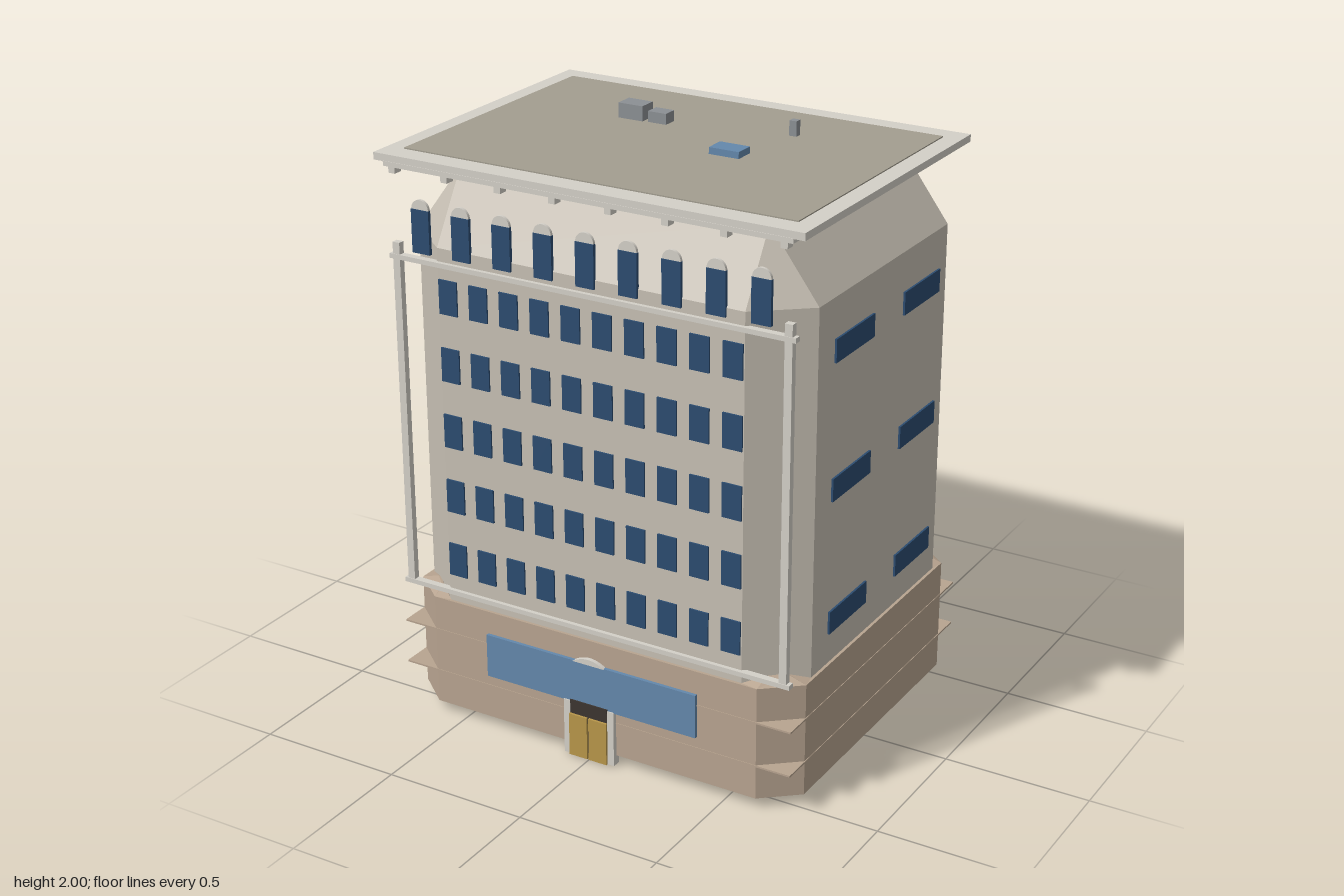
import * as THREE from 'three';

const mat = (c) => new THREE.MeshStandardMaterial({ color: c, flatShading: true });
const M = {
  wall: mat(0xc6bfb3), base: mat(0xb8a490), plinth: mat(0x5e5046), trim: mat(0xd4d0c8),
  roof: mat(0xa39e90), glass: mat(0x2c4c70), panel: mat(0x6488ac), gold: mat(0xb8964a),
  dark: mat(0x3c3530), metal: mat(0x8c9094),
};
const MID_Z = -0.01; // centre of the building's depth

// Rectangle with cut corners, listed front -> right -> back -> left
function octagon(hx, hz, cx, cz) {
  const f = MID_Z + hz, b = MID_Z - hz, x = hx - cx;
  return [[-x, f], [x, f], [hx, f - cz], [hx, b + cz], [x, b], [-x, b], [-hx, b + cz], [-hx, f - cz]];
}

// Stack of rings [y, points], closed at both ends
function loft(rings) {
  const pos = [];
  const tri = (...pts) => pts.forEach((p) => pos.push(...p));
  const R = rings.map(([y, pts]) => pts.map(([x, z]) => [x, y, z]));
  const n = R[0].length, top = R[R.length - 1], bottom = R[0];
  for (let k = 0; k < R.length - 1; k++) {
    for (let i = 0; i < n; i++) {
      const j = (i + 1) % n;
      tri(R[k][i], R[k][j], R[k + 1][j]);
      tri(R[k][i], R[k + 1][j], R[k + 1][i]);
    }
  }
  for (let i = 1; i < n - 1; i++) {
    tri(top[0], top[i], top[i + 1]);
    tri(bottom[0], bottom[i + 1], bottom[i]);
  }
  const g = new THREE.BufferGeometry();
  g.setAttribute('position', new THREE.Float32BufferAttribute(pos, 3));
  g.computeVertexNormals();
  return g;
}

export function createModel() {
  const model = new THREE.Group();
  model.name = 'officeBuilding';

  const add = (name, geo, material, parent = model) => {
    const m = new THREE.Mesh(geo, material);
    m.name = name;
    parent.add(m);
    return m;
  };
  // Box given by its limits on each axis
  const box = (name, [x0, x1], [y0, y1], [z0, z1], material, parent) => {
    const m = add(name, new THREE.BoxGeometry(x1 - x0, y1 - y0, z1 - z0), material, parent);
    m.position.set((x0 + x1) / 2, (y0 + y1) / 2, (z0 + z1) / 2);
    return m;
  };
  const group = (name) => {
    const g = new THREE.Group();
    g.name = name;
    model.add(g);
    return g;
  };
  const around = (c, size) => [c - size / 2, c + size / 2];
  // Half disc standing on y, facing front
  const halfDisc = (name, x, y, z, r, depth, material, parent) => {
    const s = new THREE.Shape();
    s.absarc(0, 0, r, 0, Math.PI, false);
    const geo = new THREE.ExtrudeGeometry(s, { depth, bevelEnabled: false, curveSegments: 12 });
    add(name, geo, material, parent).position.set(x, y, z);
  };

  // Plinth, base and tower
  const baseRing = octagon(0.73, 0.59, 0.12, 0.1);
  const towerRing = octagon(0.72, 0.58, 0.17, 0.14);
  add('plinth', loft([[0, octagon(0.61, 0.49, 0, 0)], [0.037, baseRing]]), M.plinth);
  add('base', loft([[0.037, baseRing], [0.43, baseRing]]), M.base);
  add('tower', loft([[0.43, towerRing], [1.66, towerRing], [1.888, octagon(0.55, 0.44, 0, 0)]]), M.wall);

  // Thin square bands that show past the cut corners of the base
  for (const y of [0.155, 0.31]) {
    box('baseBand', [-0.732, 0.732], around(y, 0.006), [MID_Z - 0.592, MID_Z + 0.592], M.base);
  }

  // Sloped caps on the base corners
  const capLow = [[0.55, 0.58], [0.61, 0.59], [0.73, 0.49], [0.72, 0.44]];
  const capHigh = [[0.61, 0.535], [0.615, 0.54], [0.665, 0.49], [0.66, 0.485]];
  for (const sx of [-1, 1]) {
    for (const sz of [-1, 1]) {
      const place = (pts) => {
        const p = pts.map(([x, z]) => [sx * x, MID_Z + sz * z]);
        return sx * sz < 0 ? p.reverse() : p;
      };
      add('cornerCap', loft([[0.43, place(capLow)], [0.45, place(capHigh)]]), M.base);
    }
  }

  // Window grids on the front and back
  const windows = group('windows');
  for (let row = 0; row < 5; row++) {
    for (let col = 0; col < 10; col++) {
      const x = around((col - 4.5) * 0.1138, 0.068), y = around(0.585 + row * 0.229, 0.115);
      box('frontWindow', x, y, [0.56, 0.576], M.glass, windows);
      box('backWindow', x, y, [-0.598, -0.58], M.glass, windows);
    }
  }
  // Wide side windows
  for (const s of [-1, 1]) {
    for (const y of [0.573, 1.03, 1.488]) {
      for (const z of [0.198, -0.266]) {
        box('sideWindow', around(s * 0.717, 0.02), around(y, 0.077), around(z, 0.254), M.glass, windows);
      }
    }
  }

  // Arched windows below the eaves
  const arches = group('archedWindows');
  for (let i = 0; i < 9; i++) {
    const x = (i - 4) * 0.1515;
    box('archedWindowPane', around(x, 0.066), [1.632, 1.776], [0.566, 0.578], M.glass, arches);
    halfDisc('archedWindowHead', x, 1.776, 0.566, 0.032, 0.01, M.trim, arches);
  }

  // Frame standing in front of the facade
  const frame = group('facadeFrame');
  for (const s of [-1, 1]) box('framePost', around(s * 0.7, 0.026), [0.46, 1.655], [0.56, 0.582], M.trim, frame);
  for (const y of [0.467, 1.608]) box('frameRail', [-0.725, 0.725], around(y, 0.016), [0.56, 0.584], M.trim, frame);

  // Roof slab, inner deck, cornice and brackets
  box('roofSlab', [-0.757, 0.757], [1.922, 1.946], [-0.515, 0.6], M.trim);
  box('roofDeck', [-0.695, 0.695], [1.94, 1.95], [-0.44, 0.524], M.roof);
  const cornice = group('cornice');
  box('corniceStrip', [-0.72, 0.72], [1.908, 1.924], [0.565, 0.602], M.trim, cornice);
  for (let i = 0; i < 8; i++) {
    box('corniceBracket', around((i - 3.5) * 0.197, 0.024), [1.888, 1.91], [0.568, 0.6], M.trim, cornice);
  }

  // Rooftop equipment
  box('largeRoofUnit', [-0.295, -0.205], [1.946, 2], [-0.16, -0.095], M.metal);
  box('smallRoofUnit', [-0.187, -0.12], [1.946, 1.986], [-0.152, -0.1], M.metal);
  box('ventPipe', [0.275, 0.301], [1.946, 2], [-0.222, -0.197], M.metal);
  box('skylight', [0.154, 0.26], [1.946, 1.972], [0.03, 0.1], M.panel);

  // Entrance with its wide glazed panel
  const entrance = group('entrance');
  box('frontPanel', [-0.397, 0.397], [0.197, 0.35], [0.575, 0.592], M.panel, entrance);
  const arc = new THREE.Shape();
  arc.moveTo(-0.06, 0);
  arc.quadraticCurveTo(0, 0.04, 0.06, 0);
  add('panelCrest', new THREE.ExtrudeGeometry(arc, { depth: 0.018, bevelEnabled: false }), M.trim, entrance)
    .position.set(0, 0.348, 0.576);
  box('doorHead', [-0.07, 0.07], [0.155, 0.205], [0.575, 0.596], M.dark, entrance);
  box('doorGap', [-0.07, 0.07], [0.005, 0.156], [0.575, 0.597], M.dark, entrance);
  for (const s of [-1, 1]) {
    box('doorLeaf', around(s * 0.037, 0.068), [0.004, 0.156], [0.58, 0.604], M.gold, entrance);
    box('doorPost', around(s * 0.083, 0.024), [0.004, 0.2], [0.565, 0.596], M.trim, entrance);
  }
  return model;
}
